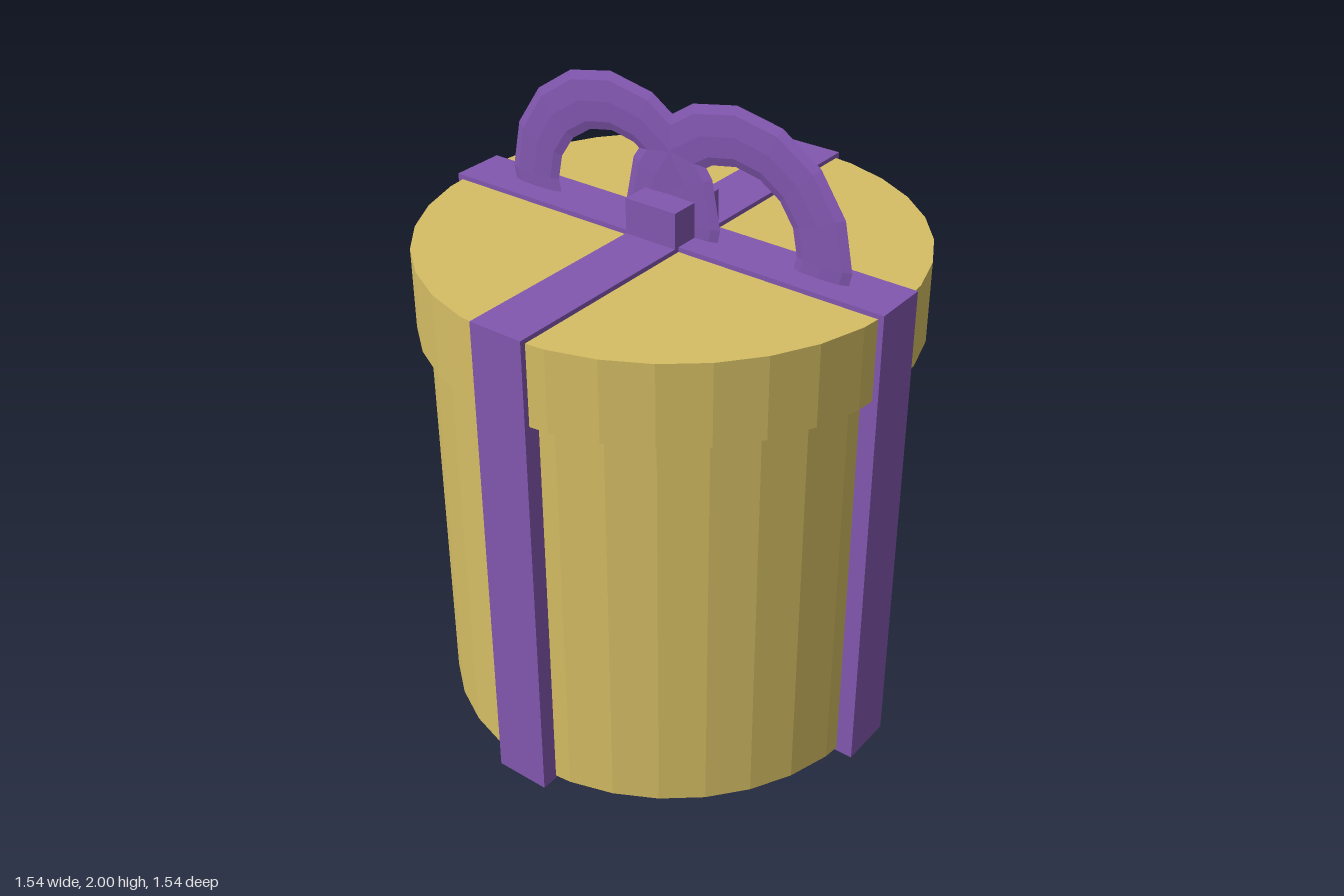
import * as THREE from 'three';

export function createModel() {
  const gold = new THREE.MeshStandardMaterial({ color: 0xd6be64, flatShading: true });
  gold.name = 'gold paper';
  const purple = new THREE.MeshStandardMaterial({ color: 0x8257b0, flatShading: true });
  purple.name = 'purple ribbon';

  const gift = new THREE.Group();
  gift.name = 'giftBox';
  const add = (name, geometry, material, x, y, z) => {
    const mesh = new THREE.Mesh(geometry, material);
    mesh.name = name;
    mesh.position.set(x, y, z);
    gift.add(mesh);
    return mesh;
  };

  // Round box and its wider lid
  add('boxBody', new THREE.CylinderGeometry(0.72, 0.72, 1.3, 32), gold, 0, 0.66, 0);
  add('lid', new THREE.CylinderGeometry(0.757, 0.757, 0.255, 32), gold, 0, 1.4275, 0);

  // Two crossing ribbons; the second is a hair lower so their faces do not coincide
  add('ribbonAcross', new THREE.BoxGeometry(1.532, 1.57, 0.177), purple, 0, 0.785, 0);
  add('ribbonFrontToBack', new THREE.BoxGeometry(0.177, 1.568, 1.532), purple, 0, 0.785, 0);

  // Knot
  add('knot', new THREE.BoxGeometry(0.177, 0.12, 0.21), purple, 0, 1.62, 0);

  // Flattened bow loops, their lower halves sunk into the lid
  for (const side of [-1, 1]) {
    const loop = add(side < 0 ? 'bowLoopRight' : 'bowLoopLeft',
      new THREE.TorusGeometry(0.3, 0.09, 8, 16), purple, side * 0.22, 1.61, 0);
    loop.scale.z = 0.15;
  }

  // The whole gift is turned slightly
  gift.rotation.y = 0.153;
  const model = new THREE.Group();
  model.name = 'gift';
  model.add(gift);
  return model;
}
